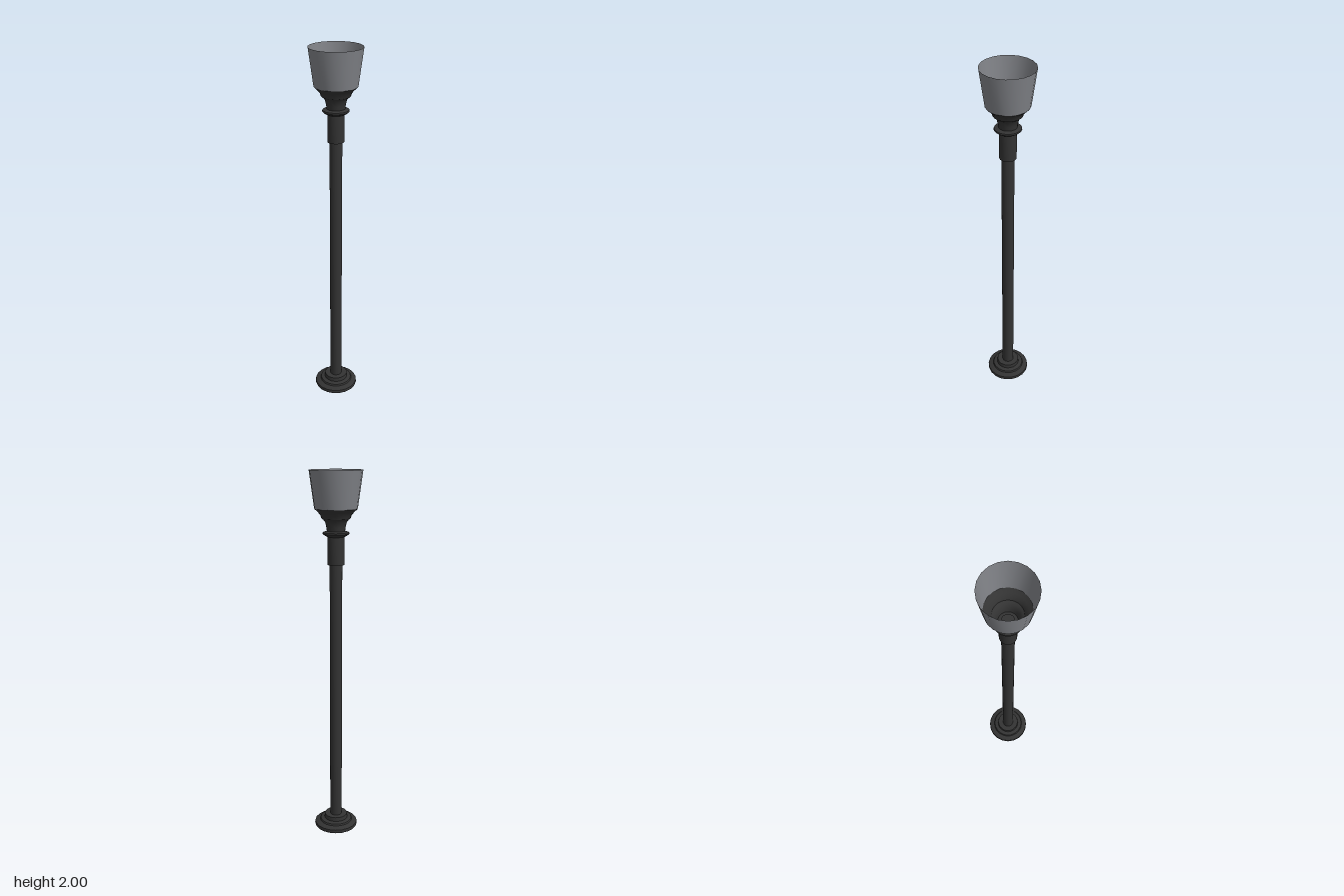
import * as THREE from 'three';
import { toCreasedNormals } from 'three/addons/utils/BufferGeometryUtils.js';

const SIDES = 20;

export function createModel() {
  const group = new THREE.Group();
  const darkMetal = new THREE.MeshStandardMaterial({ color: 0x333333, side: THREE.DoubleSide });
  const greyGlass = new THREE.MeshStandardMaterial({ color: 0x808287, side: THREE.DoubleSide });
  darkMetal.name = 'darkMetal';
  greyGlass.name = 'greyGlass';

  // Turned part from [radius, height] pairs, listed bottom to top
  function turned(name, profile, material) {
    const points = profile.map(([r, y]) => new THREE.Vector2(r, y));
    const geometry = toCreasedNormals(new THREE.LatheGeometry(points, SIDES), 0.6);
    const mesh = new THREE.Mesh(geometry, material);
    mesh.name = name;
    group.add(mesh);
  }

  // Stepped foot, closed underneath
  turned('base', [
    [0, 0], [0.119, 0], [0.122, 0.008], [0.12, 0.02], [0.107, 0.026],
    [0.092, 0.031], [0.088, 0.04], [0.066, 0.045], [0.064, 0.068], [0.033, 0.068],
  ], darkMetal);

  // Long straight post with a flat cap inside the bowl
  turned('post', [[0.033, 0.05], [0.033, 1.7], [0, 1.7]], darkMetal);

  // Sleeve around the top of the post
  turned('sleeve', [[0.033, 1.52], [0.044, 1.52], [0.044, 1.68]], darkMetal);

  // Rounded ring above the sleeve
  turned('ring', [
    [0.043, 1.664], [0.06, 1.672], [0.07, 1.681], [0.068, 1.688], [0.048, 1.694], [0.033, 1.694],
  ], darkMetal);

  // Open flaring bowl that carries the shade
  turned('shadeHolder', [
    [0.047, 1.692], [0.05, 1.715], [0.056, 1.74], [0.066, 1.752], [0.075, 1.758],
    [0.081, 1.775], [0.095, 1.792], [0.107, 1.802], [0.112, 1.808],
  ], darkMetal);

  // Thin open shade
  turned('shade', [[0.112, 1.808], [0.138, 2]], greyGlass);

  return group;
}
